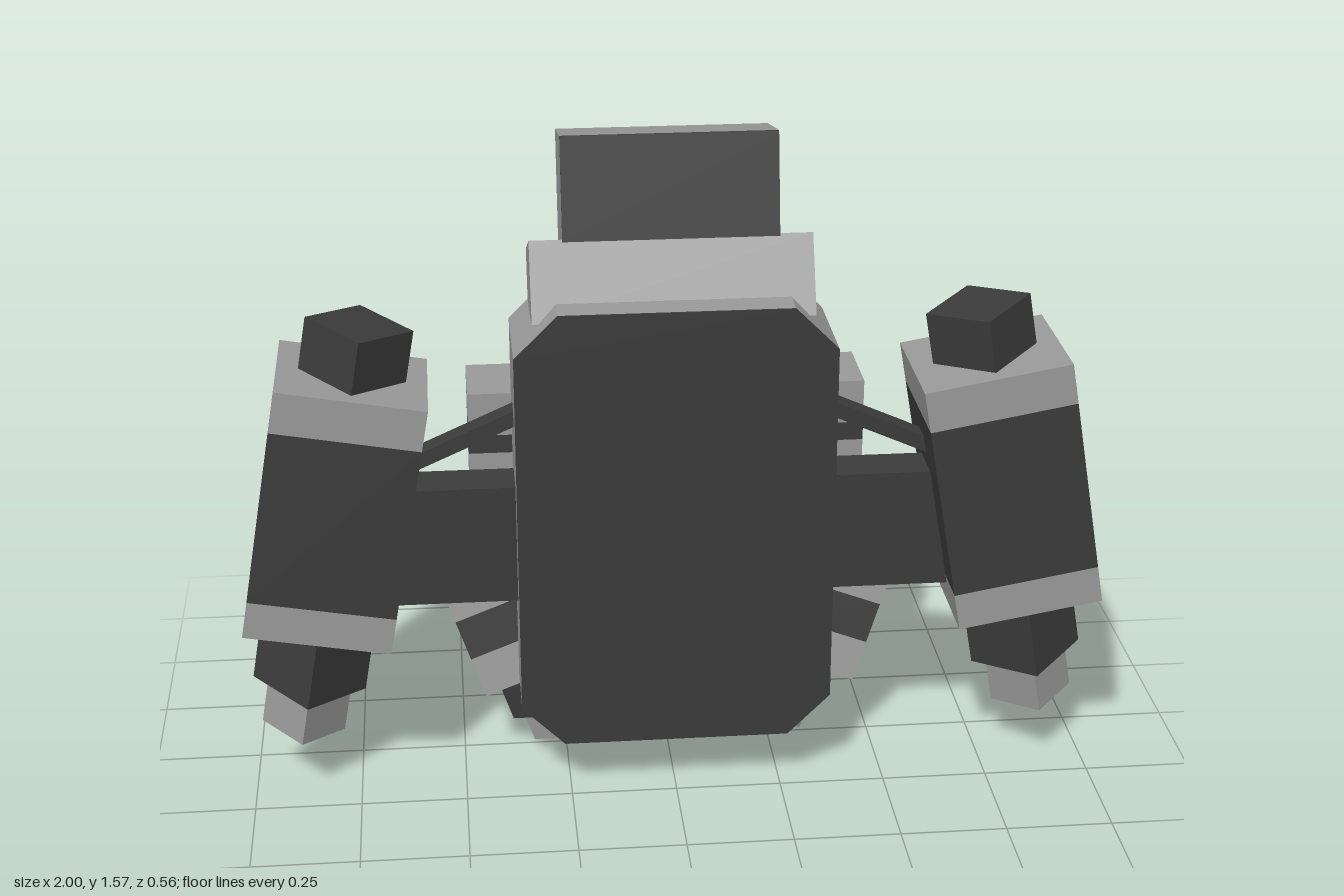
import * as THREE from 'three';

const mat = (name, color) => {
  const m = new THREE.MeshStandardMaterial({ color });
  m.name = name;
  return m;
};

export function createModel() {
  const root = new THREE.Group();
  const light = mat('light grey', 0x999999);
  const dark = mat('dark grey', 0x3b3b3b);

  const add = (parent, name, geo, material, x = 0, y = 0, z = 0) => {
    const mesh = new THREE.Mesh(geo, material);
    mesh.name = name;
    mesh.position.set(x, y, z);
    parent.add(mesh);
    return mesh;
  };
  const box = (parent, name, material, w, h, d, x, y, z) =>
    add(parent, name, new THREE.BoxGeometry(w, h, d), material, x, y, z);
  // Side profile of [z, y] points extruded across x
  const profile = (name, material, pts, width, x = 0) => {
    const shape = new THREE.Shape(pts.map(([z, y]) => new THREE.Vector2(-z, y)));
    const geo = new THREE.ExtrudeGeometry(shape, { depth: width, bevelEnabled: false });
    geo.translate(0, 0, -width / 2).rotateY(Math.PI / 2);
    return add(root, name, geo, material, x);
  };
  // Stack of box sections along local y, from the bottom up
  const stack = (parent, name, w, d, bottom, sections) => {
    let y = bottom;
    for (const [h, material] of sections) {
      box(parent, name, material, w, h, d, 0, y + h / 2, 0);
      y += h;
    }
  };
  // Square prism standing on its corner, with one edge facing forward
  const prism = (parent, name, material, r, y0, y1) =>
    add(parent, name, new THREE.CylinderGeometry(r, r, y1 - y0, 4).toNonIndexed(), material, 0, (y0 + y1) / 2, 0)
      .geometry.computeVertexNormals();

  // Chest shell with dark face plate
  const w = 0.365, c = 0.1, y0 = 0.14, y1 = 1.22;
  const octagon = new THREE.Shape([
    [-w + c, y0], [w - c, y0], [w, y0 + c], [w, y1 - c],
    [w - c, y1], [-w + c, y1], [-w, y1 - c], [-w, y0 + c],
  ].map(([x, y]) => new THREE.Vector2(x, y)));
  const slab = (depth) => new THREE.ExtrudeGeometry(octagon, { depth, bevelEnabled: false });
  add(root, 'shell', slab(0.265), light, 0, 0, -0.02);
  add(root, 'facePlate', slab(0.005), dark, 0, 0, 0.245);

  // Collar and head block, leaning back
  profile('collar', light, [[0.19, 1.18], [0.11, 1.35], [-0.07, 1.27], [-0.02, 1.14]], 0.64);
  profile('headBlock', light, [[0.11, 1.35], [0.06, 1.575], [-0.13, 1.535], [-0.07, 1.27]], 0.49);
  profile('headFrontPlate', dark, [[0.114, 1.345], [0.064, 1.575], [0.06, 1.575], [0.11, 1.35]], 0.49);

  // Back housing
  profile('backHousing', light,
    [[-0.01, 1.03], [-0.1, 1.055], [-0.16, 0.9], [-0.165, 0.45], [-0.09, 0.15], [-0.01, 0.15]], 0.49);
  profile('backHousingSides', light,
    [[-0.01, 1.03], [-0.09, 1.05], [-0.14, 0.9], [-0.14, 0.45], [-0.07, 0.24], [-0.01, 0.24]], 0.59);

  for (const s of [-1, 1]) {
    // Back fins
    profile('lowerFin', dark,
      [[-0.14, 0.82], [-0.23, 0.85], [-0.28, 0.66], [-0.28, 0.46], [-0.11, 0.003], [-0.01, 0.04], [-0.12, 0.46]],
      0.07, s * 0.13);
    profile('upperFin', dark,
      [[-0.095, 1.38], [-0.12, 1.2], [-0.12, 0.98], [-0.02, 0.98], [-0.02, 1.14]], 0.07, s * 0.13);

    // Banded back pod
    const pod = new THREE.Group();
    pod.name = 'backPod';
    pod.position.set(s * 0.357, 0.45, -0.092);
    stack(pod, 'podSection', 0.22, 0.187, 0,
      [[0.1, light], [0.045, dark], [0.195, light], [0.045, dark], [0.105, light]]);
    root.add(pod);

    // Lower thruster, angled inwards and forwards
    const lower = new THREE.Group();
    lower.name = 'lowerThruster';
    lower.position.set(s * 0.398, 0.362, -0.04);
    lower.rotation.set(-0.19, 0, -s * 0.349);
    stack(lower, 'thrusterSection', 0.22, 0.2, -0.165, [[0.1, light], [0.1, dark], [0.13, light]]);
    prism(lower, 'thrusterNozzle', dark, 0.08, -0.275, -0.165);
    prism(lower, 'thrusterTip', light, 0.052, -0.345, -0.275);
    root.add(lower);

    // Side booster, bottom splayed outwards
    const booster = new THREE.Group();
    booster.name = 'sideBooster';
    booster.position.set(s * 0.778, 0.746, 0.12);
    booster.rotation.z = s * 0.175;
    stack(booster, 'boosterSection', 0.342, 0.32, -0.305, [[0.09, light], [0.422, dark], [0.098, light]]);
    prism(booster, 'boosterCap', dark, 0.122, 0.305, 0.43);
    prism(booster, 'boosterNozzle', dark, 0.133, -0.488, -0.305);
    prism(booster, 'boosterTip', light, 0.098, -0.603, -0.488);
    root.add(booster);

    // Connecting arm and brace rod
    box(root, 'connector', dark, 0.34, 0.29, 0.11, s * 0.5, 0.63, 0.115);
    const rod = box(root, 'braceRod', dark, 0.32, 0.035, 0.055, s * 0.47, 0.888, 0.118);
    rod.rotation.z = -s * 0.42;
  }
  return root;
}
